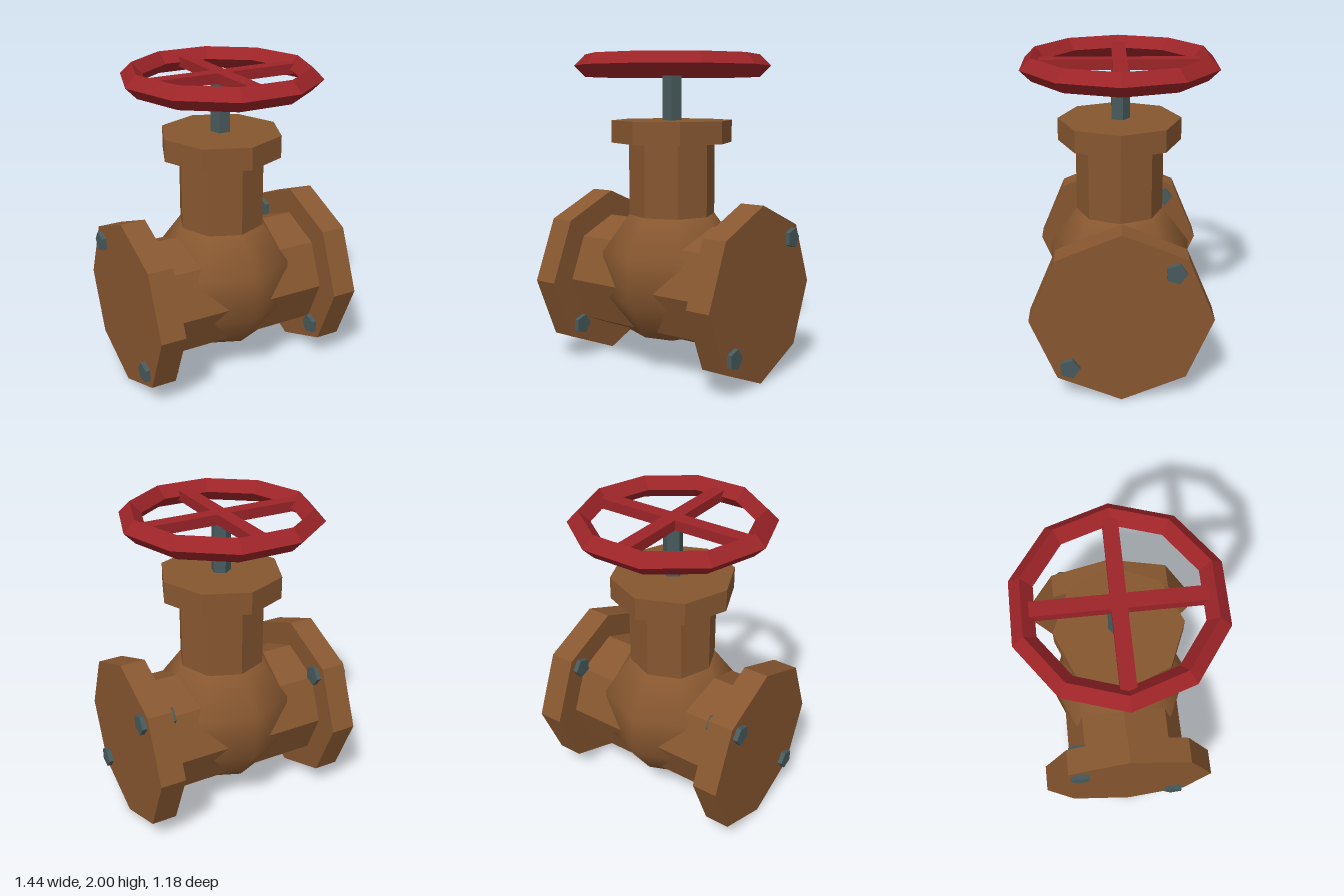
import * as THREE from 'three';

const bronze = new THREE.MeshStandardMaterial({ color: 0x875730 });
bronze.name = 'bronze';
const red = new THREE.MeshStandardMaterial({ color: 0x9c2428 });
red.name = 'red paint';
const steel = new THREE.MeshStandardMaterial({ color: 0x485a5c });
steel.name = 'grey steel';

// Split the faces so every facet gets its own flat normal
function faceted(geometry) {
  const flat = geometry.index ? geometry.toNonIndexed() : geometry;
  flat.computeVertexNormals();
  return flat;
}

// Faceted prism with one corner pointing to -z
function prism(radius, length, sides) {
  return faceted(new THREE.CylinderGeometry(radius, radius, length, sides, 1, false, Math.PI));
}

export function createModel() {
  const model = new THREE.Group();
  model.name = 'gateValve';

  function add(parent, name, geometry, material, x, y, z) {
    const mesh = new THREE.Mesh(geometry, material);
    mesh.name = name;
    mesh.position.set(x, y, z);
    parent.add(mesh);
    return mesh;
  }

  // Horizontal pipe and its bulging smooth body
  const axisY = 0.55;
  add(model, 'pipe', prism(0.385, 1.2, 8).rotateZ(Math.PI / 2), bronze, 0, axisY, 0);
  add(model, 'body', new THREE.SphereGeometry(0.47, 8, 5), bronze, 0, 0.61, 0);

  // End flanges, each with two bolts
  for (const side of [1, -1]) {
    const end = new THREE.Group();
    end.name = side > 0 ? 'leftFlangeGroup' : 'rightFlangeGroup';
    model.add(end);
    add(end, 'flange', prism(0.55, 0.16, 8).rotateZ(Math.PI / 2), bronze, side * 0.61, axisY, 0);
    for (const s of [1, -1]) {
      add(end, 'bolt', prism(0.065, 0.22, 5).rotateZ(Math.PI / 2), steel,
        side * 0.61, axisY + s * 0.314, -s * 0.314);
    }
  }

  // Neck, collar and stem
  add(model, 'neck', prism(0.275, 0.56, 8), bronze, 0, 1.22, 0);
  add(model, 'collar', prism(0.385, 0.14, 8), bronze, 0, 1.52, 0);
  add(model, 'stem', prism(0.063, 0.4, 5), steel, 0, 1.74, 0);

  // Hand wheel: ten-sided rim with a diamond section and crossed spokes
  const wheel = new THREE.Group();
  wheel.name = 'handWheel';
  wheel.position.y = 1.93;
  model.add(wheel);
  const rim = new THREE.TorusGeometry(0.55, 0.07, 4, 10).rotateX(Math.PI / 2);
  add(wheel, 'rim', faceted(rim), red, 0, 0, 0);
  add(wheel, 'spokeAcross', new THREE.BoxGeometry(1.04, 0.064, 0.09), red, 0, 0, 0);
  add(wheel, 'spokeAlong', new THREE.BoxGeometry(0.09, 0.064, 1.02), red, 0, 0, 0);

  return model;
}
